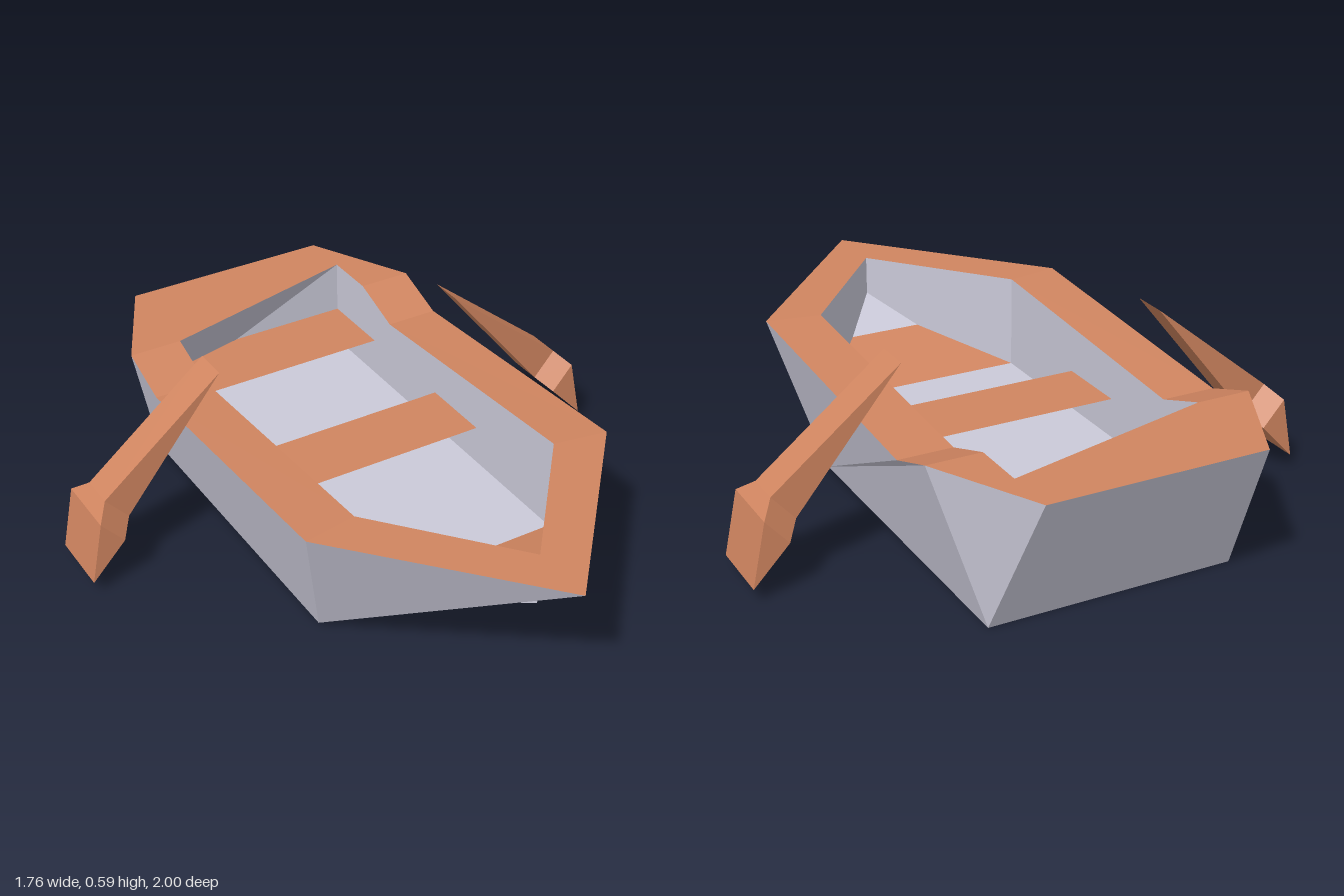
import * as THREE from 'three';

// Flat-faced surface from convex polygons (counter-clockwise seen from the front)
function faces(name, material, polys) {
  const pos = [];
  for (const p of polys)
    for (let i = 1; i < p.length - 1; i++) pos.push(...p[0], ...p[i], ...p[i + 1]);
  const g = new THREE.BufferGeometry();
  g.setAttribute('position', new THREE.Float32BufferAttribute(pos, 3));
  g.computeVertexNormals();
  const m = new THREE.Mesh(g, material);
  m.name = name;
  return m;
}

const flip = ([x, y, z]) => [-x, y, z];
const mirror = (poly) => poly.map(flip).reverse();
const both = (polys) => [...polys, ...polys.map(mirror)];

export function createModel() {
  const wood = new THREE.MeshStandardMaterial({ color: 0xd08560, side: THREE.DoubleSide, flatShading: true });
  wood.name = 'orange wood';
  const grey = new THREE.MeshStandardMaterial({ color: 0xcac9d8, side: THREE.DoubleSide, flatShading: true });
  grey.name = 'pale grey hull';

  const boat = new THREE.Group();
  boat.name = 'rowingBoat';

  // Outer points, left side
  const bow = [0, 0.45, 1];
  const shoulder = [0.5, 0.45, 0.43];
  const dip = [0.5, 0.39, -0.5];
  const quarter = [0.5, 0.45, -0.67];
  const stern = [0.333, 0.45, -1];
  const keelFront = [0.38, 0, 0.27];
  const keelBack = [0.38, 0, -0.79];

  // Hull shell
  boat.add(faces('hull', grey, [
    ...both([
      [bow, keelFront, shoulder],
      [shoulder, keelFront, dip],
      [dip, keelFront, quarter],
      [keelFront, keelBack, quarter],
      [quarter, keelBack, stern],
    ]),
    [bow, flip(keelFront), keelFront],
    [keelFront, flip(keelFront), flip(keelBack), keelBack],
    [stern, keelBack, flip(keelBack), flip(stern)],
  ]));

  // Inner opening: the back edge runs at a slant
  const W = 0.333, FLOOR = 0.157, BACK = -0.84;
  const inBow = [0, 0.45, 0.8];
  const inShoulder = [W, 0.45, 0.4];
  const inDip = [W, 0.39, -0.5];
  const inQuarter = [W, 0.45, -0.67];
  const inBackL = [W, 0.45, BACK];
  const inBackR = flip(inQuarter);

  // Rim
  boat.add(faces('rim', wood, [
    ...both([
      [bow, shoulder, inShoulder, inBow],
      [shoulder, dip, inDip, inShoulder],
      [dip, quarter, inQuarter, inDip],
    ]),
    [quarter, stern, inBackL, inQuarter],
    [stern, flip(stern), inBackR, inBackL],
    [flip(stern), flip(quarter), inBackR],
  ]));

  // Inner walls and floor
  const floorBow = [0, 0.285, 0.8];
  const floorFront = [W, FLOOR, 0.4];
  const floorBack = [W, FLOOR, BACK];
  const floorDip = [W, FLOOR, -0.5];
  const floorQuarter = [W, FLOOR, -0.67];
  boat.add(faces('innerWalls', grey, [
    ...both([
      [inBow, inShoulder, floorFront, floorBow],
      [inShoulder, inDip, floorDip, floorFront],
      [inDip, inQuarter, floorQuarter, floorDip],
    ]),
    [inQuarter, inBackL, floorBack, floorQuarter],
    [inBackR, flip(floorQuarter), flip(floorBack)],
    [inBackR, flip(floorBack), inBackL],
    [inBackL, flip(floorBack), floorBack],
  ]));
  boat.add(faces('floor', grey, [
    [floorFront, floorBack, flip(floorBack), flip(floorFront)],
  ]));
  boat.add(faces('bowFloor', wood, [[floorBow, floorFront, flip(floorFront)]]));

  // Seats
  const seat = (name, z0, z1) => {
    const y = 0.28;
    boat.add(faces(name, wood, [[[-W, y, z1], [W, y, z1], [W, y, z0], [-W, y, z0]]]));
  };
  seat('middleSeat', -0.225, 0.01);
  // Back seat is trimmed where the leaning back wall meets it
  boat.add(faces('backSeat', wood, [[
    [-W, 0.28, -0.595], [W, 0.28, -0.595], [W, 0.28, BACK], [-0.053, 0.28, BACK], [-W, 0.28, -0.769],
  ]]));

  // Oars: cross-sections as [upper x, upper y, lower x, lower y, half width]
  const sections = [
    [0.41, 0.592, 0.41, 0.592, 0.055],
    [0.8, 0.28, 0.73, 0.2, 0.055],
    [0.84, 0.24, 0.77, 0.16, 0.107],
    [0.88, 0.045, 0.88, 0.045, 0.107],
  ];
  const Z = -0.29;
  const ring = ([ux, uy, lx, ly, h]) =>
    [[ux, uy, Z + h], [ux, uy, Z - h], [lx, ly, Z - h], [lx, ly, Z + h]];
  const oar = [];
  for (let s = 0; s < sections.length - 1; s++) {
    const a = ring(sections[s]), b = ring(sections[s + 1]);
    for (let i = 0; i < 4; i++) {
      const j = (i + 1) % 4;
      // Pointed ends collapse a ring to an edge, so the sides there are triangles
      const poly = [a[i], b[i], b[j], a[j]].filter((p, k, q) =>
        p.some((v, c) => v !== q[(k + 1) % q.length][c]));
      if (poly.length > 2) oar.push(poly);
    }
  }
  boat.add(faces('leftOar', wood, oar));
  boat.add(faces('rightOar', wood, oar.map(mirror)));

  return boat;
}
